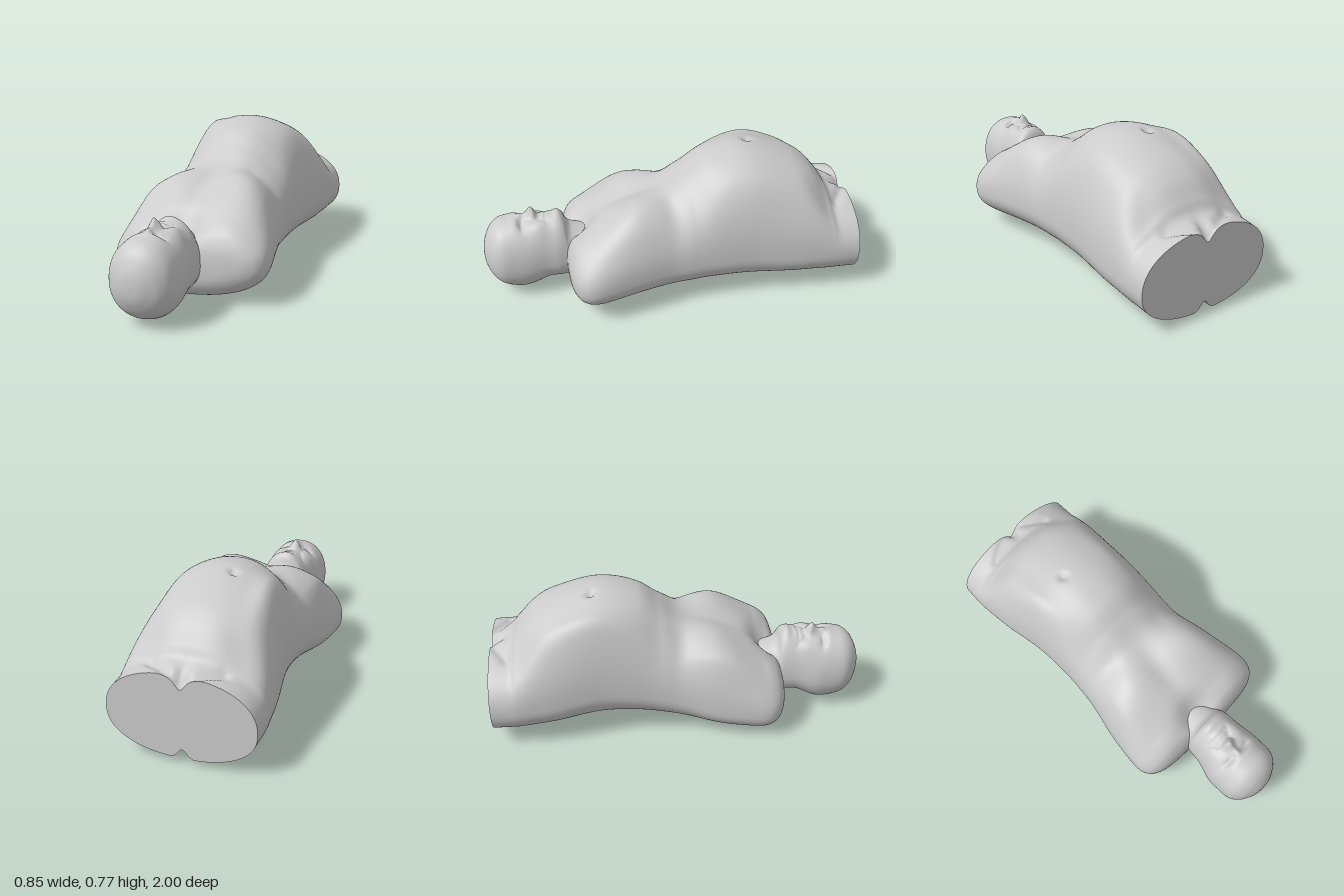
import * as THREE from 'three';

const material = new THREE.MeshStandardMaterial({ color: 0xcccccc, roughness: 0.8 });

// Uniform Catmull-Rom through a table of stations, u in 0..1
function sample(rows, u) {
  const f = u * (rows.length - 1);
  const i = Math.min(Math.floor(f), rows.length - 2), t = f - i;
  const at = k => rows[Math.max(0, Math.min(rows.length - 1, k))];
  const a = at(i - 1), b = at(i), c = at(i + 1), d = at(i + 2);
  return b.map((v, k) => 0.5 * (2 * v + (c[k] - a[k]) * t
    + (2 * a[k] - 5 * v + 4 * c[k] - d[k]) * t * t
    + (3 * v - a[k] - 3 * c[k] + d[k]) * t * t * t));
}

// Soft bump around (cx, cz)
const bump = (x, z, cx, cz, sx, sz, h) =>
  h * Math.exp(-(((x - cx) / sx) ** 2) - ((z - cz) / sz) ** 2);

// Groove of height h along the segment a-b in the xz plane
function groove(x, z, [ax, az], [bx, bz], s, h) {
  const dx = bx - ax, dz = bz - az;
  const t = Math.max(0, Math.min(1, ((x - ax) * dx + (z - az) * dz) / (dx * dx + dz * dz)));
  return h * Math.exp(-((x - ax - t * dx) ** 2 + (z - az - t * dz) ** 2) / (s * s));
}

function makeMesh(name, positions, index) {
  const geometry = new THREE.BufferGeometry();
  geometry.setAttribute('position', new THREE.Float32BufferAttribute(positions, 3));
  geometry.setIndex(index);
  geometry.computeVertexNormals();
  const mesh = new THREE.Mesh(geometry, material);
  mesh.name = name;
  return mesh;
}

// Loft of superellipse rings along z, with a flat face closing the first ring.
// Station: z, right x, left x, bottom y, widest y, top y
function loft(name, rows, rings, sides, power, relief) {
  const pos = [], index = [], fan = [];
  for (let i = 0; i <= rings; i++) {
    const [z, xr, xl, y0, ym, y1] = sample(rows, i / rings);
    const cx = (xr + xl) / 2, w = Math.max(0, (xl - xr) / 2);
    for (let j = 0; j < sides; j++) {
      const t = j / sides * Math.PI * 2, c = Math.cos(t), s = Math.sin(t);
      const k = Math.pow(Math.abs(c) ** power + Math.abs(s) ** power, -1 / power);
      const x = cx + w * c * k;
      const y = ym + (s > 0 ? y1 - ym : ym - y0) * s * k;
      pos.push(x, y + relief(x, z, Math.min(1, Math.max(0, s * 1.6)), Math.min(1, Math.max(0, -s * 1.6))), z);
      if (i < rings) {
        const a = i * sides + j, b = i * sides + (j + 1) % sides;
        index.push(a, b, a + sides, b, b + sides, a + sides);
      }
    }
  }
  const face = pos.slice(0, sides * 3);
  face.push((rows[0][1] + rows[0][2]) / 2, rows[0][4], rows[0][0]);
  for (let j = 0; j < sides; j++) fan.push(sides, (j + 1) % sides, j);
  const group = new THREE.Group();
  group.name = name;
  group.add(makeMesh(name + 'Skin', pos, index), makeMesh(name + 'CutFace', face, fan));
  return group;
}

// Chest, belly, groin and spine relief
function torsoRelief(x, z, up, down) {
  const m = -0.02;
  let y = bump(x, z, m, 0.22, 0.06, 0.18, -0.015)                     // sternum
    + bump(x, z, m, 0.48, 0.09, 0.08, -0.08)                          // throat hollow
    + bump(x, z, m, -1.02, 0.03, 0.07, -0.08)                         // between thighs
    + bump(x, z, -0.29, -0.5, 0.07, 0.25, 0.05)                       // fuller right flank
    + bump(x, z, -0.36, 0.2, 0.07, 0.2, 0.04)                         // fuller right chest
    + bump(x, z, -0.08, -0.455, 0.022, 0.022, -0.028);                // navel
  for (const s of [-1, 1]) {
    y += bump(x, z, m + s * 0.19, 0.18, 0.13, 0.16, 0.048);           // breasts
    y += bump(x, z, m + s * 0.3, 0.24, 0.1, 0.16, 0.03);
    y += groove(x, z, [m + s * 0.19, 0.0], [m + s * 0.32, -0.02], 0.06, -0.015);
    y += bump(x, z, m + s * 0.24, -0.14, 0.1, 0.1, -0.025);           // belly dome edges
    y += bump(x, z, m + s * 0.24, -0.82, 0.09, 0.08, -0.035);
    y += bump(x, z, m + s * 0.25, -0.45, 0.08, 0.2, 0.02);
    y += groove(x, z, [m + s * 0.18, -0.91], [m + s * 0.04, -1], 0.025, -0.02); // groin folds
    y += bump(x, z, m + s * 0.25, 0.5, 0.1, 0.07, 0.02);              // shoulder lobes
  }
  const under = bump(x, z, m, -1, 0.03, 0.2, 0.05) + bump(x, z, m, -0.3, 0.06, 0.4, 0.012);
  // Slight twist: belly leans one way, shoulders the other
  const roll = 0.075 * THREE.MathUtils.smoothstep(z, -0.15, 0.25) - 0.05 * Math.exp(-(((z + 0.42) / 0.25) ** 2));
  return y * up + under * down + roll * (x - m);
}

// Facial relief
function headRelief(x, z, up) {
  const m = -0.05;
  let y = bump(x, z, m, 0.725, 0.025, 0.024, 0.045)                   // nose tip
    + groove(x, z, [m, 0.74], [m, 0.79], 0.019, 0.02)                 // bridge
    + bump(x, z, m, 0.825, 0.09, 0.025, 0.006)                        // brow
    + bump(x, z, m, 0.655, 0.045, 0.022, 0.014)                       // lips
    + groove(x, z, [m - 0.04, 0.655], [m + 0.04, 0.655], 0.009, -0.008)
    + bump(x, z, m, 0.59, 0.05, 0.022, 0.01);                         // chin
  for (const s of [-1, 1]) {
    y += bump(x, z, m + s * 0.06, 0.782, 0.035, 0.02, -0.024);        // eye sockets
    y += bump(x, z, m + s * 0.058, 0.772, 0.02, 0.012, 0.01);         // eyelids
    y += bump(x, z, m + s * 0.025, 0.718, 0.013, 0.014, 0.015);       // nostrils
    y += bump(x, z, m + s * 0.1, 0.69, 0.045, 0.05, 0.02);            // cheeks
    y += groove(x, z, [m + s * 0.035, 0.7], [m + s * 0.065, 0.65], 0.012, -0.007);
  }
  return y * up;
}

export function createModel() {
  const model = new THREE.Group();
  model.name = 'recliningFigure';

  model.add(loft('torso', [
    [-1, -0.39, 0.36, 0.03, 0.24, 0.475],
    [-0.9, -0.395, 0.36, 0.035, 0.24, 0.495],
    [-0.85, -0.395, 0.36, 0.037, 0.24, 0.555],
    [-0.77, -0.39, 0.358, 0.042, 0.245, 0.645],
    [-0.65, -0.38, 0.352, 0.05, 0.25, 0.712],
    [-0.42, -0.352, 0.335, 0.065, 0.28, 0.775],
    [-0.22, -0.345, 0.33, 0.06, 0.27, 0.742],
    [-0.1, -0.35, 0.33, 0.05, 0.25, 0.66],
    [0.02, -0.362, 0.337, 0.038, 0.23, 0.578],
    [0.2, -0.4, 0.375, 0.02, 0.2, 0.528],
    [0.36, -0.422, 0.412, 0.006, 0.185, 0.468],
    [0.44, -0.425, 0.42, 0.005, 0.18, 0.42],
    [0.49, -0.41, 0.405, 0.016, 0.185, 0.38],
    [0.525, -0.375, 0.37, 0.045, 0.19, 0.345],
    [0.55, -0.31, 0.3, 0.09, 0.195, 0.295],
    [0.56, -0.2, 0.18, 0.14, 0.2, 0.245],
    [0.562, -0.02, -0.02, 0.2, 0.2, 0.2],
  ], 220, 160, 2.25, torsoRelief));

  model.add(loft('head', [
    [0.36, -0.13, 0.09, 0.1, 0.2, 0.33],
    [0.5, -0.155, 0.11, 0.08, 0.2, 0.36],
    [0.54, -0.155, 0.11, 0.075, 0.2, 0.385],
    [0.565, -0.16, 0.11, 0.073, 0.21, 0.435],
    [0.6, -0.165, 0.115, 0.07, 0.21, 0.45],
    [0.66, -0.175, 0.118, 0.07, 0.21, 0.435],
    [0.75, -0.203, 0.13, 0.03, 0.21, 0.434],
    [0.82, -0.207, 0.132, 0.022, 0.21, 0.438],
    [0.9, -0.203, 0.125, 0.045, 0.22, 0.425],
    [0.95, -0.17, 0.092, 0.085, 0.225, 0.388],
    [0.98, -0.124, 0.045, 0.135, 0.23, 0.334],
    [0.995, -0.085, 0.005, 0.18, 0.235, 0.285],
    [1, -0.04, -0.04, 0.235, 0.235, 0.235],
  ], 170, 140, 2.15, headRelief));
  return model;
}
